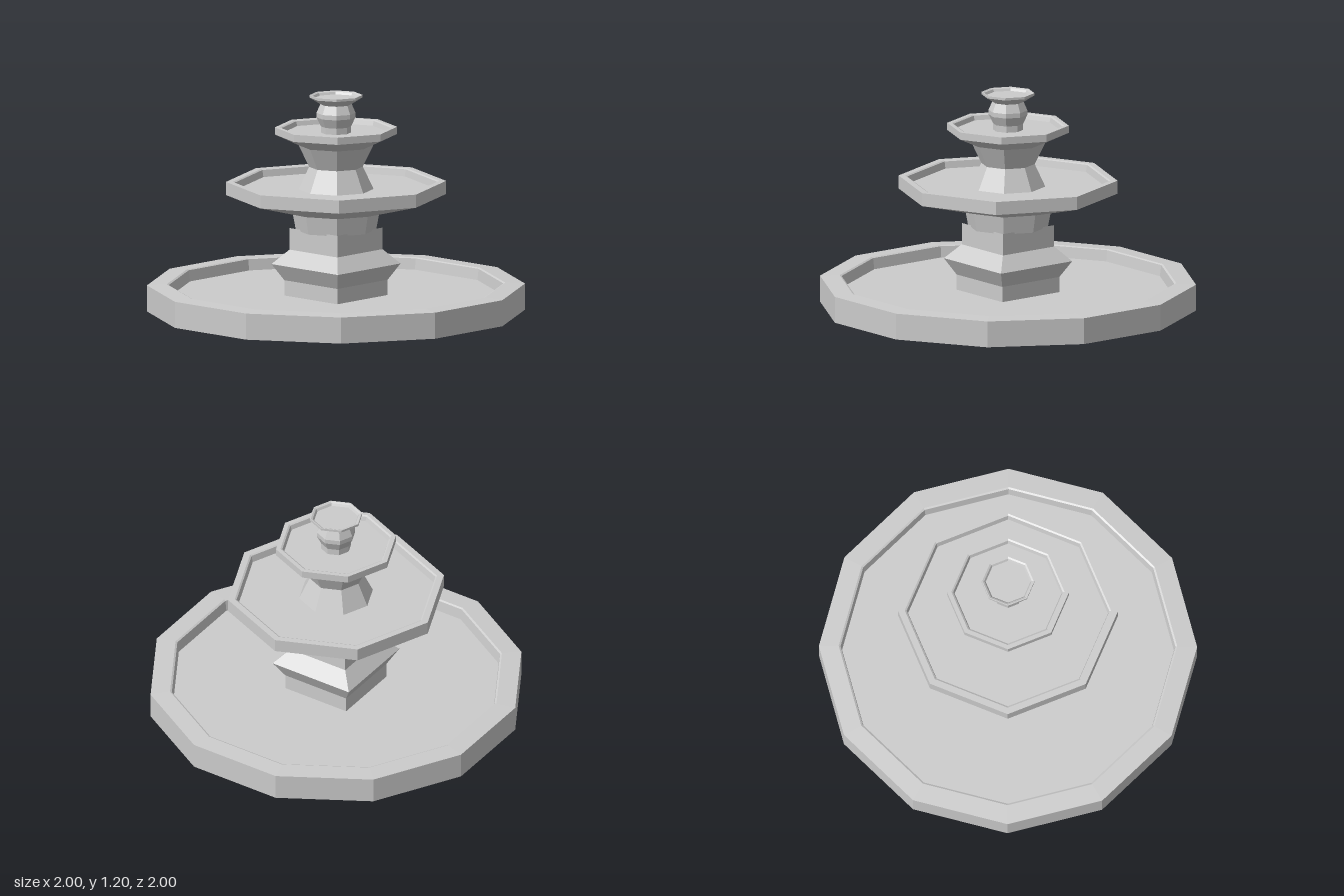
import * as THREE from 'three';

const stone = new THREE.MeshStandardMaterial({ color: 0xcccccc, flatShading: true });

// Faceted solid of revolution; profile runs from the bottom up as [radius, y].
// With flat = true the radii are measured to the middle of the sides and a side faces front.
function turned(name, sides, profile, flat = false) {
  const scale = flat ? 1 / Math.cos(Math.PI / sides) : 1;
  const points = profile.map(([r, y]) => new THREE.Vector2(r * scale, y));
  const geometry = new THREE.LatheGeometry(points, sides);
  if (flat) geometry.rotateY(Math.PI / sides);
  const mesh = new THREE.Mesh(geometry, stone);
  mesh.name = name;
  return mesh;
}

// Hollow basin: flared underside, upright rim with a small inner bevel, flat floor.
function basin(name, sides, { foot, under, bottom, outer, top, inner, floor, crown = 0 }, flat) {
  return turned(name, sides, [
    [0, under], [foot, under], [outer, bottom], [outer, top],
    [inner + 0.01, top + crown], [inner, top + crown - 0.005],
    [inner - 0.008, floor], [0, floor],
  ], flat);
}

export function createModel() {
  const fountain = new THREE.Group();
  fountain.name = 'tieredFountain';

  fountain.add(
    // Wide twelve-sided pool
    basin('poolBasin', 12, {
      foot: 1, under: 0, bottom: 0.003, outer: 1, top: 0.145, inner: 0.885, floor: 0.085, crown: 0.006,
    }, true),

    // Square pedestal with a flared waist
    turned('squarePedestal', 4, [
      [0.2, 0.08], [0.2, 0.17], [0.25, 0.26], [0.18, 0.34], [0.18, 0.46],
    ], true),

    // Eight-sided collar below the large bowl
    turned('pedestalCollar', 8, [[0, 0.45], [0.22, 0.45], [0.24, 0.555]]),

    basin('lowerBowl', 8, {
      foot: 0.24, under: 0.55, bottom: 0.645, outer: 0.603, top: 0.718, inner: 0.555, floor: 0.675,
    }),

    turned('middleColumn', 8, [[0.208, 0.67], [0.147, 0.8], [0.205, 0.92]]),

    basin('middleBowl', 8, {
      foot: 0.205, under: 0.92, bottom: 0.98, outer: 0.335, top: 1.02, inner: 0.3, floor: 0.99,
    }),

    turned('upperColumn', 8, [
      [0.083, 0.985], [0.083, 1.025], [0.107, 1.075], [0.107, 1.1], [0.085, 1.15],
    ]),

    basin('topBowl', 8, {
      foot: 0.085, under: 1.147, bottom: 1.185, outer: 0.146, top: 1.198, inner: 0.13, floor: 1.18,
    }),
  );

  return fountain;
}
